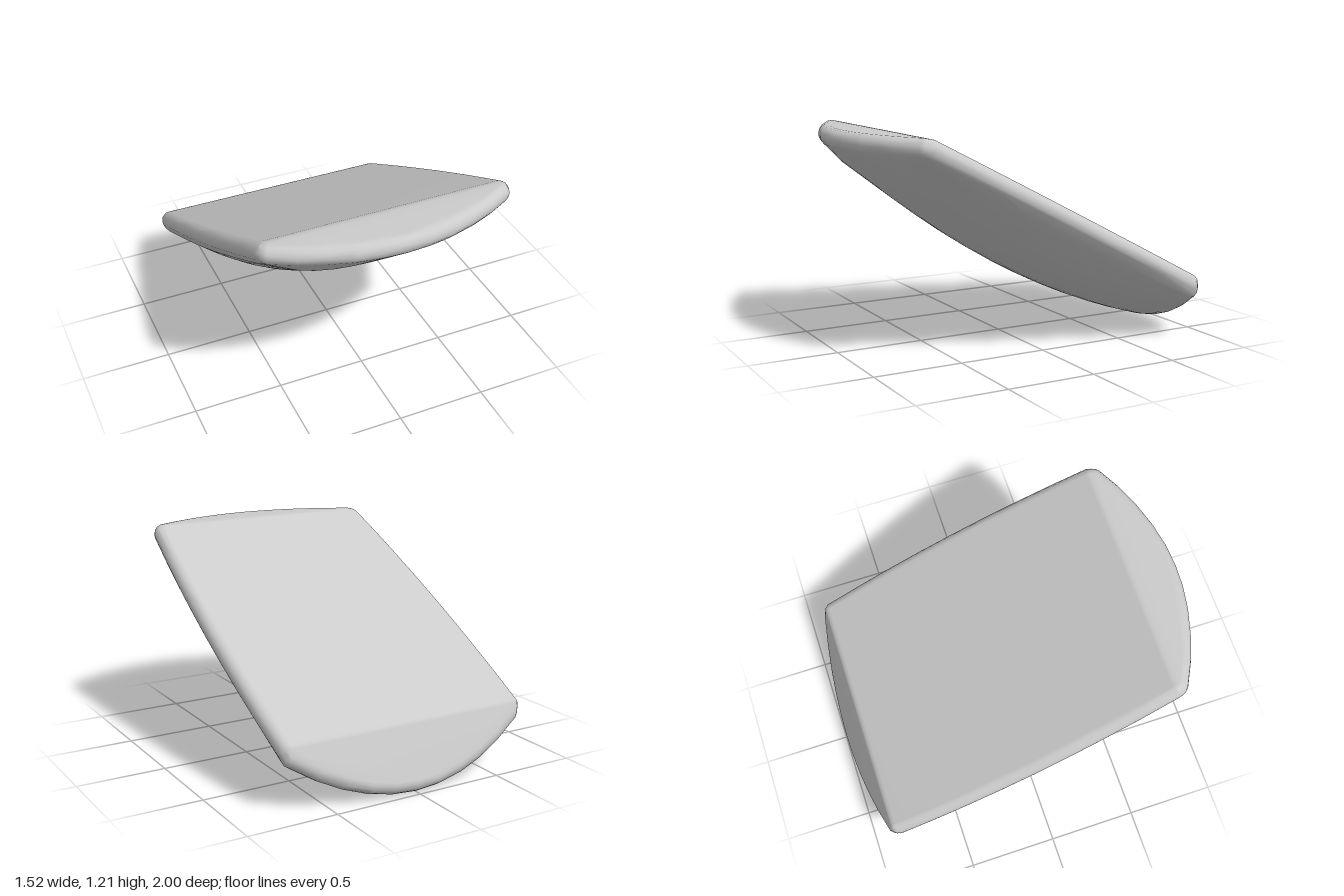
import * as THREE from 'three';
import { ConvexGeometry } from 'three/addons/geometries/ConvexGeometry.js';
import { mergeVertices } from 'three/addons/utils/BufferGeometryUtils.js';

const R = 0.055; // radius of the rounded rim

// Centre line of the rim
const topY = z => Math.min(1.155, 0.763 + 0.525 * z);
const halfWidth = z => 0.76 - 0.055 * ((z + 0.35) / 1.09) ** 2 - R;
const frontZ = x => 1 - R - 0.45 * x * x;
const backY = x => R + 0.5 * x * x;
const backZ = x => -0.94 + 0.38 * (backY(x) - R);

// Lowest line of the curved underside
const keelY = z => 0.39 + 0.576 * z + 0.171 * z * z;

export function createModel() {
  const points = [];
  const ball = new THREE.SphereGeometry(R, 12, 8).attributes.position;
  const addBall = (x, y, z) => {
    for (let i = 0; i < ball.count; i++) {
      points.push(new THREE.Vector3(x + ball.getX(i), y + ball.getY(i), z + ball.getZ(i)));
    }
  };

  // Front and back rims, bowed outwards
  for (let i = -5; i <= 5; i++) {
    const xf = 0.64 * i / 5, xb = 0.68 * i / 5;
    addBall(xf, 1.155, frontZ(xf));
    addBall(xb, backY(xb), backZ(xb));
  }

  // Side rims along the sloping flat top
  for (const side of [-1, 1]) {
    for (let i = 0; i <= 8; i++) {
      const z = -0.84 + 1.58 * i / 8;
      addBall(side * halfWidth(z), topY(z), z);
    }
  }

  // Bulging underside
  for (let i = -8; i <= 8; i++) {
    const f = 0.95 * i / 8;
    for (let j = 0; j <= 12; j++) {
      const x0 = f * 0.68;
      const z = THREE.MathUtils.lerp(backZ(x0), frontZ(x0), 0.04 + 0.92 * j / 12);
      const rimY = topY(z) - R;
      const y = THREE.MathUtils.lerp(keelY(z), rimY, Math.abs(f) ** 2.3);
      points.push(new THREE.Vector3(f * (halfWidth(z) + 0.8 * R), y, z));
    }
  }

  // One smooth skin around everything
  const hull = new ConvexGeometry(points);
  hull.deleteAttribute('normal');
  const geometry = mergeVertices(hull, 1e-4);
  geometry.computeVertexNormals();

  const slab = new THREE.Mesh(geometry, new THREE.MeshStandardMaterial({ color: 0xcccccc }));
  slab.name = 'roundedSlab';
  const group = new THREE.Group();
  group.name = 'tiltedSlab';
  group.add(slab);
  return group;
}
